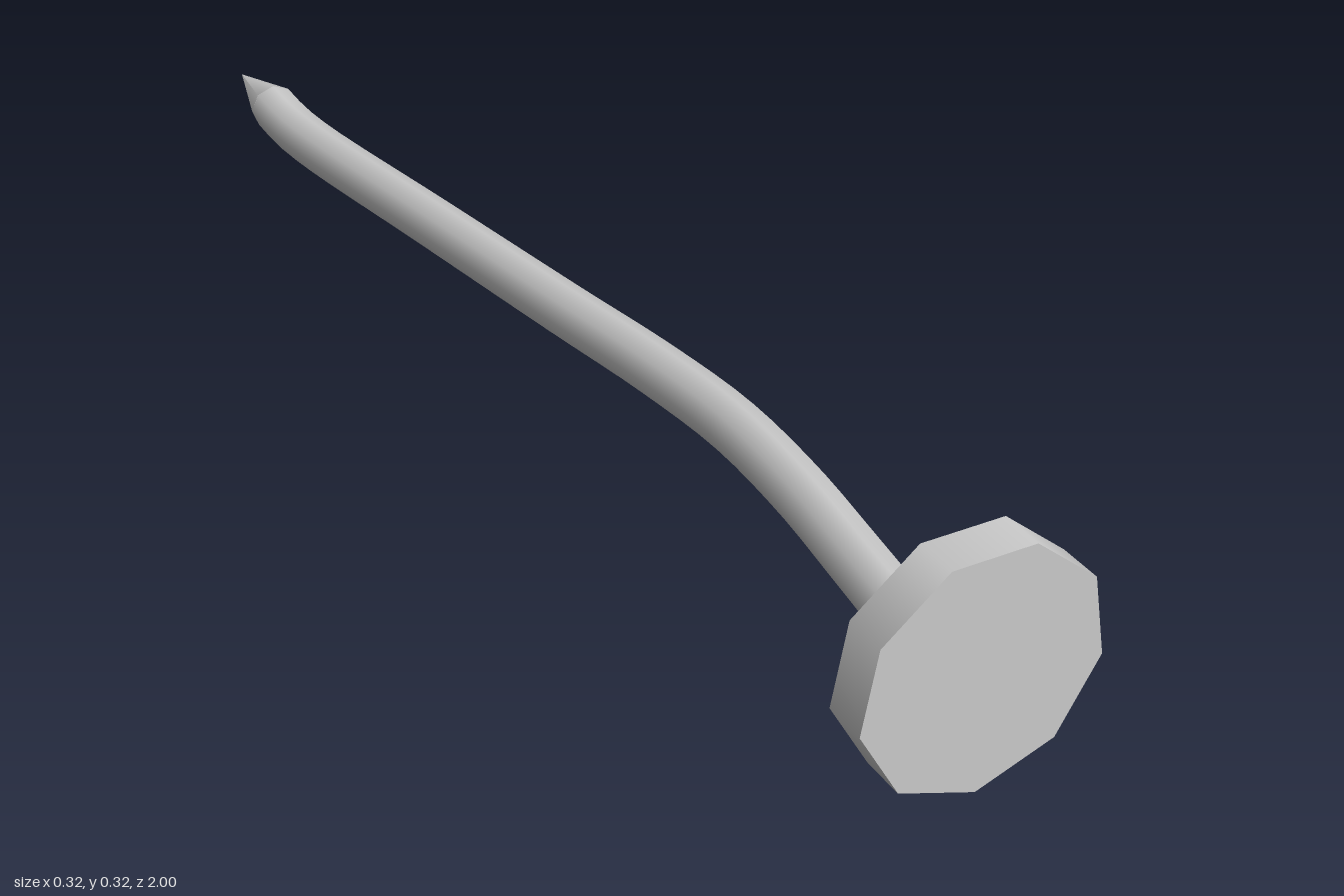
import * as THREE from 'three';

export function createModel() {
  const nail = new THREE.Group();
  nail.name = 'bentNail';
  const material = new THREE.MeshStandardMaterial({ color: 0xcccccc });
  const add = (name, geometry) => {
    const mesh = new THREE.Mesh(geometry, material);
    mesh.name = name;
    nail.add(mesh);
    return mesh;
  };

  const shaftRadius = 0.037;
  const sides = 8;

  // Nine-sided flat head
  const head = add('head', new THREE.CylinderGeometry(0.165, 0.165, 0.06, 9).rotateX(Math.PI / 2));
  head.position.set(0, 0.165, 0.97);

  // Bent shaft, running from the head to the base of the point
  const path = new THREE.CatmullRomCurve3([
    [-0.018, 0.147, 0.95],
    [0.012, 0.147, 0.72],
    [0.03, 0.147, 0.57],
    [0.04, 0.143, 0.4],
    [0.033, 0.132, 0.22],
    [0.015, 0.115, 0],
    [-0.014, 0.089, -0.36],
    [-0.043, 0.064, -0.71],
    [-0.048, 0.062, -0.8],
    [-0.048, 0.065, -0.87],
  ].map((p) => new THREE.Vector3(...p)));
  add('shaft', new THREE.TubeGeometry(path, 40, shaftRadius, sides, false));

  // Sharp point, aligned along the end of the shaft
  const base = path.getPoint(1);
  const tip = new THREE.Vector3(-0.048, 0.068, -1);
  const axis = tip.clone().sub(base);
  const point = add('point', new THREE.ConeGeometry(shaftRadius, axis.length(), sides));
  point.position.copy(base).add(tip).multiplyScalar(0.5);
  point.quaternion.setFromUnitVectors(new THREE.Vector3(0, 1, 0), axis.normalize());

  return nail;
}
